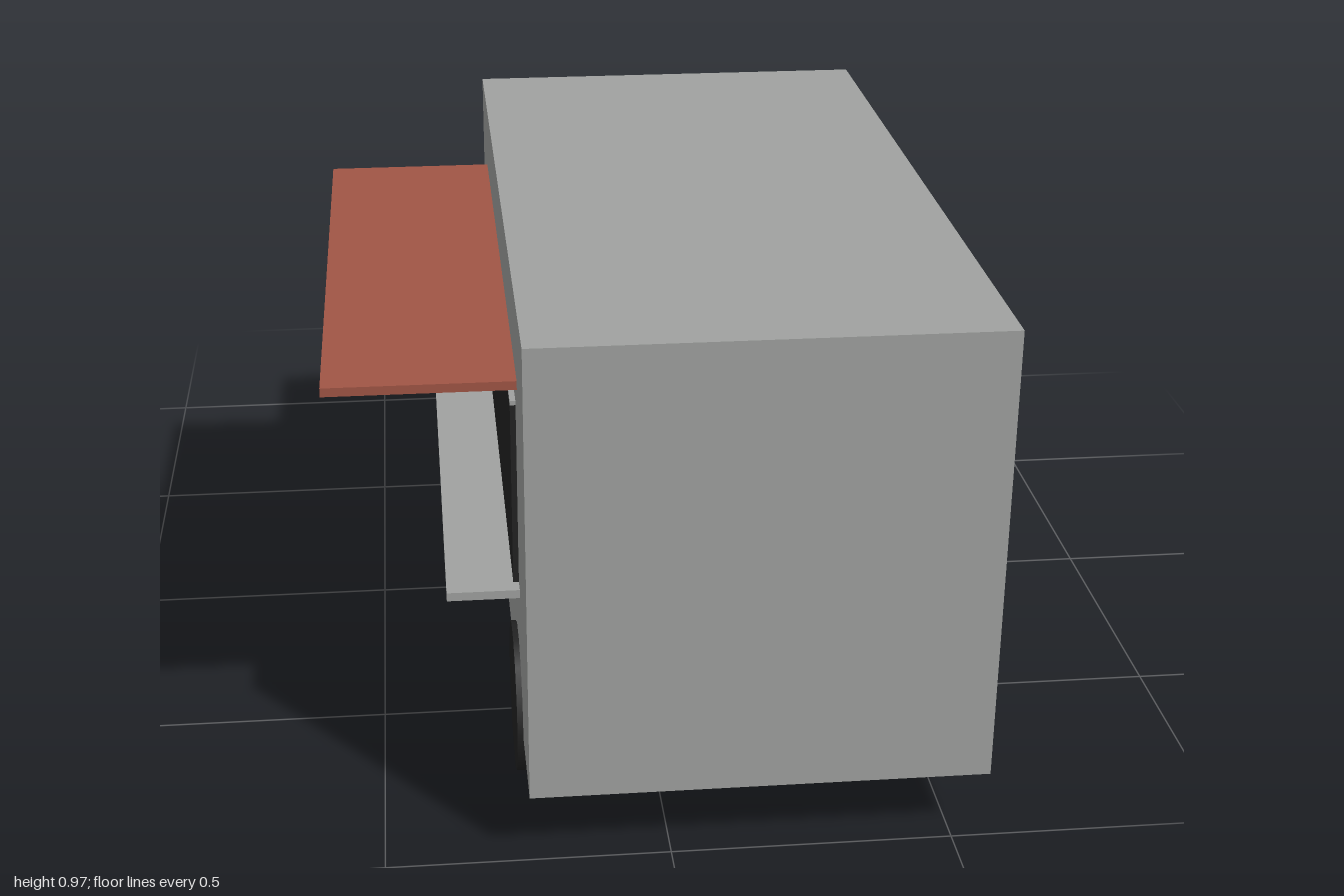
import * as THREE from 'three';

const grey = new THREE.MeshStandardMaterial({ name: 'bodyGrey', color: 0xa0a2a0 });
const red = new THREE.MeshStandardMaterial({ name: 'awningRed', color: 0xa05545 });
const black = new THREE.MeshStandardMaterial({ name: 'tyreBlack', color: 0x222222 });

// Box given by its lower and upper limits on each axis
function box(name, material, [x0, x1], [y0, y1], [z0, z1]) {
  const mesh = new THREE.Mesh(new THREE.BoxGeometry(x1 - x0, y1 - y0, z1 - z0), material);
  mesh.name = name;
  mesh.position.set((x0 + x1) / 2, (y0 + y1) / 2, (z0 + z1) / 2);
  return mesh;
}

export function createModel() {
  const truck = new THREE.Group();
  truck.name = 'servingTruck';

  // Tall cargo body, lower cab, and the raised step above the cab
  truck.add(
    box('cargoBody', grey, [-0.247, 0.563], [0.13, 0.971], [-0.54, 1]),
    box('cab', grey, [-0.228, 0.542], [0.13, 0.662], [-1, -0.54]),
    box('cabRoof', grey, [-0.207, 0.524], [0.662, 0.812], [-0.67, -0.54]),
    box('hoodStrip', grey, [-0.192, 0.506], [0.662, 0.675], [-0.995, -0.985]),
  );

  // Serving hatch with its trim, counter and awning
  truck.add(
    box('servingWindow', black, [-0.257, -0.247], [0.417, 0.762], [-0.29, 0.75]),
    box('windowTrim', grey, [-0.257, -0.247], [0.762, 0.77], [-0.29, 0.75]),
    box('counter', grey, [-0.376, -0.247], [0.402, 0.418], [-0.32, 0.78]),
    box('awning', red, [-0.576, -0.247], [0.817, 0.833], [-0.36, 0.81]),
  );

  // Four wheels
  const wheelGeometry = new THREE.CylinderGeometry(0.139, 0.139, 0.083, 14).rotateZ(Math.PI / 2);
  for (const x of [-0.216, 0.533]) {
    for (const z of [-0.725, 0.672]) {
      const wheel = new THREE.Mesh(wheelGeometry, black);
      wheel.name = (z < 0 ? 'cab' : 'cargo') + (x < 0 ? 'RightWheel' : 'LeftWheel');
      wheel.position.set(x, 0.139, z);
      truck.add(wheel);
    }
  }
  return truck;
}
